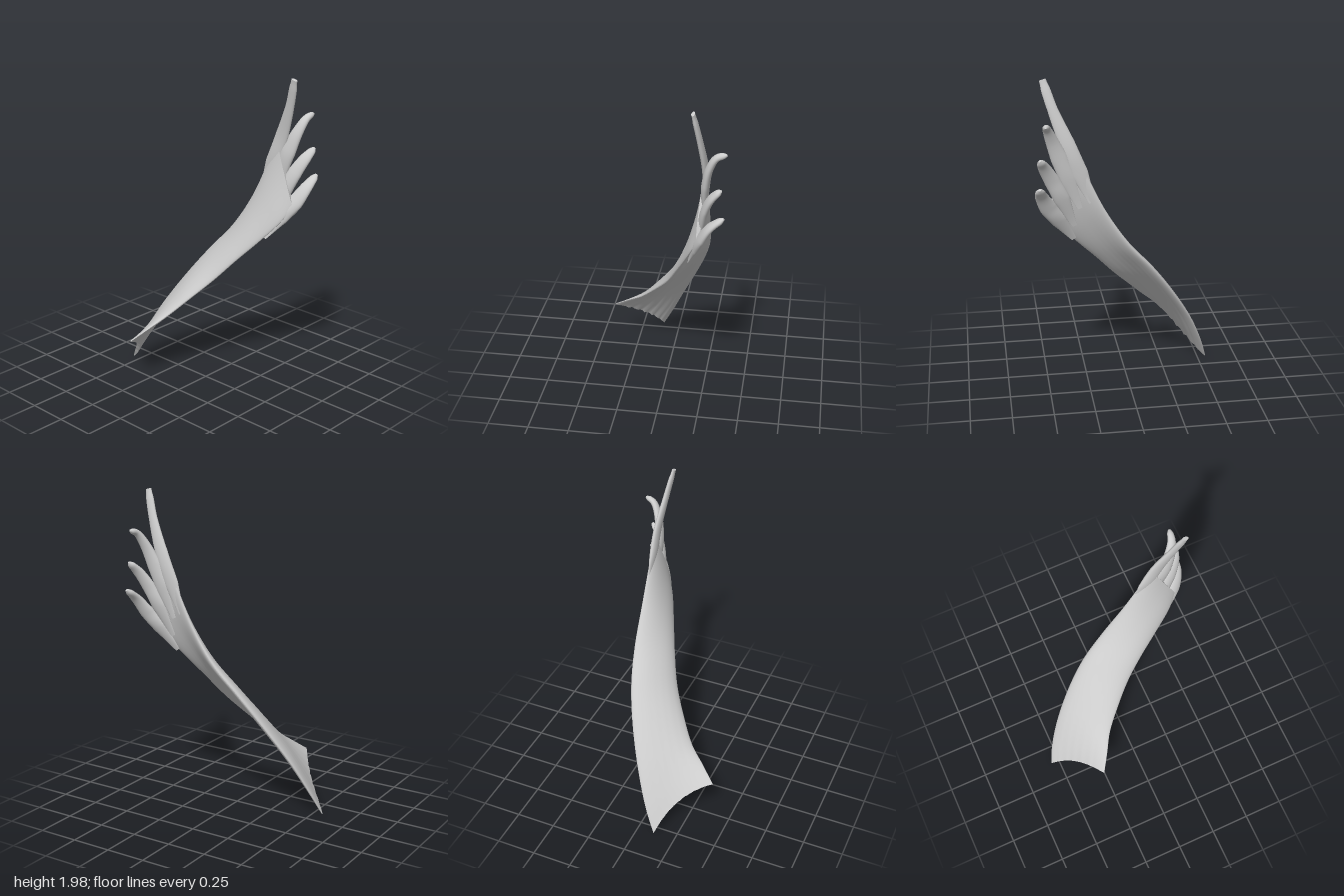
import * as THREE from 'three';

const V = (p) => new THREE.Vector3(...p);
const curve = (pts) => new THREE.CatmullRomCurve3(pts.map(V));

// Skin a list of closed rings (counter-clockwise about the travel direction) and cap both ends
function loft(rings) {
  const n = rings[0].length, last = rings.length - 1, pos = [], idx = [];
  const add = (ring) => {
    const base = pos.length / 3;
    ring.forEach((p) => pos.push(p.x, p.y, p.z));
    return base;
  };
  rings.forEach(add);
  for (let i = 0; i < last; i++) {
    for (let j = 0; j < n; j++) {
      const a = i * n + j, b = i * n + (j + 1) % n;
      idx.push(a, b, a + n, b, b + n, a + n);
    }
  }
  [[rings[0], true], [rings[last], false]].forEach(([ring, flip]) => {
    const o = add(ring);
    for (let j = 0; j < n / 2 - 1; j++) {
      const a = o + j, b = a + 1, c = o + n - 2 - j, d = c + 1;
      if (flip) idx.push(a, c, b, a, d, c);
      else idx.push(a, b, c, a, c, d);
    }
  });
  const g = new THREE.BufferGeometry();
  g.setAttribute('position', new THREE.Float32BufferAttribute(pos, 3));
  g.setIndex(idx);
  g.computeVertexNormals();
  return g;
}

// Broad twisted sheet stretched between two edge curves, thick in its belly
function sheetGeometry() {
  const backEdge = curve([
    [-0.11, 0.008, -0.555], [-0.04, 0.15, -0.51], [0.05, 0.36, -0.42], [0.15, 0.6, -0.28], [0.22, 0.8, -0.14],
    [0.262, 0.98, 0.01], [0.272, 1.2, 0.15], [0.27, 1.42, 0.255], [0.267, 1.6, 0.335]]);
  const frontEdge = curve([
    [-0.395, 0.3, -0.28], [-0.3, 0.375, -0.215], [-0.2, 0.45, -0.15], [-0.1, 0.565, -0.05], [0, 0.7, 0.07],
    [0.07, 0.84, 0.19], [0.13, 0.97, 0.31], [0.19, 1.11, 0.43], [0.235, 1.21, 0.49]]);
  const at = (u, t) => {
    const k = 4 * u * (1 - u), s = Math.sin(Math.PI * t), q = (1 - t) ** 2;
    return backEdge.getPoint(t).lerp(frontEdge.getPoint(t), u)
      .add(new THREE.Vector3(0.04 * q - 0.02 * s, 0.035 * q + 0.02 * s, 0.015 * q - 0.01 * s).multiplyScalar(k));
  };
  const rows = 60, cols = 40, rings = [], e = 0.004;
  for (let i = 0; i <= rows; i++) {
    const t = i / rows, upper = [], lower = [];
    for (let j = 0; j <= cols; j++) {
      const u = (1 - Math.cos(Math.PI * j / cols)) / 2;
      const du = at(u + e, t).sub(at(u - e, t));
      const dt = at(u, Math.min(1, t + e)).sub(at(u, Math.max(0, t - e)));
      const normal = du.cross(dt).normalize();
      // Fibre furrows, strongest at the frayed lower end
      const fray = (1 - t) ** 3 * Math.sin(Math.PI * u);
      const furrow = Math.sin(u * 44 + 3 * t) + 0.6 * Math.sin(u * 75 + 1);
      const half = (0.014 + 0.016 * Math.sin(Math.PI * t)) * Math.sqrt(Math.max(0.01, 1 - Math.abs(2 * u - 1) ** 3));
      const p = at(u, t);
      if (i === 0) p.y += 0.003 * furrow * fray;
      upper.push(p.clone().addScaledVector(normal, half + 0.001 * furrow * fray));
      lower.unshift(p.clone().addScaledVector(normal, -half + 0.003 * furrow * fray));
    }
    rings.push([...upper, ...lower]);
  }
  return loft(rings);
}

// Flattened slip that swells out of the sheet along a path and tapers to its tip
function slipGeometry(path, widths, depth, blunt) {
  const c = curve(path), steps = 40, sides = 20, rings = [];
  for (let i = 0; i <= steps; i++) {
    const s = i / steps, p = c.getPoint(s), tangent = c.getTangent(s);
    const across = new THREE.Vector3().crossVectors(tangent, new THREE.Vector3(1, 0, 0)).normalize();
    const out = new THREE.Vector3().crossVectors(tangent, across);
    const f = s * (widths.length - 1), k = Math.min(Math.floor(f), widths.length - 2);
    const round = s > 0.9 ? Math.max(blunt, Math.sqrt(Math.max(0, 1 - ((s - 0.9) / 0.1) ** 2))) : 1;
    const swell = THREE.MathUtils.smoothstep(s, -0.05, 0.4);
    const w = THREE.MathUtils.lerp(widths[k], widths[k + 1], f - k) * round;
    const h = depth * swell * (1 - 0.45 * s) * round;
    const ring = [];
    for (let j = 0; j < sides; j++) {
      const a = (j + 0.5) / sides * Math.PI * 2;
      ring.push(p.clone().addScaledVector(across, Math.cos(a) * w).addScaledVector(out, Math.sin(a) * h));
    }
    rings.push(ring);
  }
  return loft(rings);
}

export function createModel() {
  const group = new THREE.Group();
  group.name = 'muscle';
  const grey = new THREE.MeshStandardMaterial({ color: 0xcccccc });
  grey.name = 'grey';
  const add = (name, geometry) => {
    const mesh = new THREE.Mesh(geometry, grey);
    mesh.name = name;
    group.add(mesh);
  };

  add('sheet', sheetGeometry());

  // Four slips fanning out from the upper end, highest first
  const slips = [
    ['topSlip', [[0.262, 1.26, 0.23], [0.264, 1.44, 0.3], [0.263, 1.62, 0.37], [0.237, 1.82, 0.447], [0.207, 1.985, 0.498]],
      [0.02, 0.05, 0.046, 0.03, 0.026], 0.024, 0.8],
    ['upperSlip', [[0.245, 1.22, 0.3], [0.262, 1.4, 0.365], [0.272, 1.54, 0.418], [0.298, 1.66, 0.463], [0.34, 1.735, 0.49], [0.395, 1.758, 0.5]],
      [0.015, 0.048, 0.05, 0.036, 0.024, 0.016], 0.03, 0.4],
    ['middleSlip', [[0.21, 1.1, 0.33], [0.25, 1.28, 0.403], [0.278, 1.41, 0.463], [0.318, 1.5, 0.508], [0.37, 1.56, 0.535]],
      [0.015, 0.048, 0.046, 0.036, 0.02], 0.03, 0.4],
    ['lowerSlip', [[0.165, 1.0, 0.33], [0.218, 1.14, 0.42], [0.262, 1.24, 0.488], [0.315, 1.33, 0.528], [0.388, 1.393, 0.542]],
      [0.015, 0.046, 0.05, 0.038, 0.022], 0.032, 0.4],
  ];
  slips.forEach(([name, path, widths, depth, blunt]) => add(name, slipGeometry(path, widths, depth, blunt)));
  return group;
}
